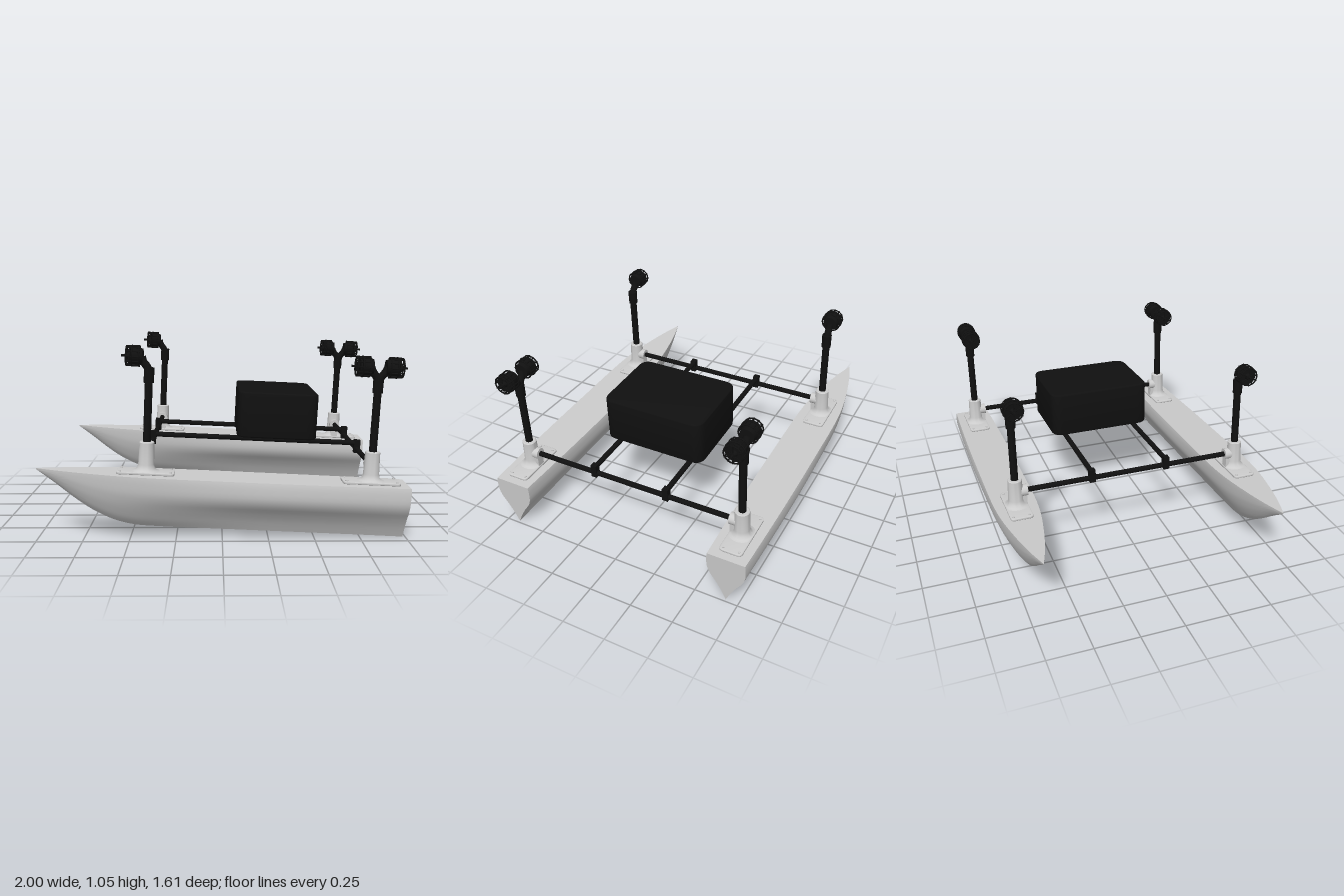
import * as THREE from 'three';
import { toCreasedNormals } from 'three/addons/utils/BufferGeometryUtils.js';

const grey = new THREE.MeshStandardMaterial({ color: 0xcccccc });
const black = new THREE.MeshStandardMaterial({ color: 0x101010 });

const HULL_Z = 0.677, DECK = 0.342, FORE_X = -0.427, AFT_X = 0.785;

function add(parent, name, geo, mat, x = 0, y = 0, z = 0) {
  const m = new THREE.Mesh(geo, mat);
  m.name = name;
  m.position.set(x, y, z);
  parent.add(m);
  return m;
}

// Round bar between two points
function bar(parent, name, a, b, r, mat, r2 = r, sides = 20) {
  const p = new THREE.Vector3(...a), q = new THREE.Vector3(...b);
  const d = q.clone().sub(p);
  const m = add(parent, name, new THREE.CylinderGeometry(r2, r, d.length(), sides), mat);
  m.position.copy(p).add(q).multiplyScalar(0.5);
  m.quaternion.setFromUnitVectors(new THREE.Vector3(0, 1, 0), d.normalize());
  return m;
}

// Rounded rectangle lying flat, extruded upward from y = 0
function slab(w, d, h, r, bevel) {
  const s = new THREE.Shape();
  const x = w / 2 - bevel, y = d / 2 - bevel;
  s.moveTo(-x + r, -y);
  s.lineTo(x - r, -y).quadraticCurveTo(x, -y, x, -y + r);
  s.lineTo(x, y - r).quadraticCurveTo(x, y, x - r, y);
  s.lineTo(-x + r, y).quadraticCurveTo(-x, y, -x, y - r);
  s.lineTo(-x, -y + r).quadraticCurveTo(-x, -y, -x + r, -y);
  const g = new THREE.ExtrudeGeometry(s, {
    depth: h - 2 * bevel, bevelEnabled: true, bevelSize: bevel,
    bevelThickness: bevel, bevelSegments: 3, curveSegments: 8,
  });
  g.rotateX(-Math.PI / 2).translate(0, bevel, 0);
  return toCreasedNormals(g, 0.6);
}

// Hull lofted from cross-sections: fine bow, hollow V towards the stern
function hullGeometry() {
  // x, keel height, half width at deck
  const stations = [
    [-1.017, 0.336, 0.001], [-0.915, 0.267, 0.034], [-0.81, 0.19, 0.061],
    [-0.7, 0.122, 0.084], [-0.585, 0.074, 0.104], [-0.48, 0.053, 0.116],
    [-0.35, 0.048, 0.123], [0.0, 0.048, 0.124], [0.4, 0.048, 0.122],
    [0.75, 0.048, 0.115], [0.985, 0.047, 0.108],
  ].map((s) => new THREE.Vector3(...s));
  const rail = new THREE.CatmullRomCurve3(stations);
  const profile = (pts) => new THREE.SplineCurve(pts.map((p) => new THREE.Vector2(...p)));
  const aft = profile([[0, 1], [0.1, 1.03], [0.3, 1.01], [0.45, 0.86], [0.6, 0.58],
    [0.75, 0.33], [0.88, 0.15], [1, 0]]);
  const bow = profile([[0, 1], [0.1, 0.98], [0.3, 0.9], [0.45, 0.79], [0.6, 0.65],
    [0.75, 0.46], [0.88, 0.26], [1, 0]]);
  const N = 60, H = 18, R = 2 * H + 1;
  const pos = [], idx = [];
  for (let i = 0; i <= N; i++) {
    const s = rail.getPoint(i / N);
    const t = THREE.MathUtils.smoothstep(-s.x, -0.3, 0.8);
    for (let j = 0; j < R; j++) {
      const k = 1 - Math.abs(j - H) / H;
      const p = aft.getPoint(k).lerp(bow.getPoint(k), t);
      const side = j < H ? 1 : -1;
      pos.push(s.x, DECK + (s.y - DECK) * p.x, side * s.z * p.y);
    }
  }
  for (let i = 0; i < N; i++) {
    const a = i * R, b = a + R;
    for (let j = 0; j < R - 1; j++) {
      idx.push(a + j, a + j + 1, b + j, b + j, a + j + 1, b + j + 1);
    }
    // deck strip
    idx.push(a, b, a + R - 1, b, b + R - 1, a + R - 1);
  }
  // transom
  const e = N * R;
  for (let j = 0; j < H; j++) {
    const m = e + R - 1 - j;
    idx.push(e + j, e + j + 1, m);
    if (j < H - 1) idx.push(e + j + 1, m - 1, m);
  }
  const g = new THREE.BufferGeometry();
  g.setAttribute('position', new THREE.Float32BufferAttribute(pos, 3));
  g.setIndex(idx);
  return toCreasedNormals(g, 0.6);
}

// Base plate, flared socket and inboard boss for the crossbar
function mount(parent, x, side) {
  const g = new THREE.Group();
  g.name = 'mastMount';
  g.position.set(x, DECK, side * HULL_Z);
  parent.add(g);
  add(g, 'mountPlate', slab(0.31, 0.128, 0.014, 0.02, 0.003), grey);
  for (const bx of [-0.135, 0.135]) for (const bz of [-0.045, 0.045]) {
    add(g, 'plateBolt', new THREE.CylinderGeometry(0.007, 0.007, 0.006, 10), grey, bx, 0.016, bz);
  }
  const flare = [[0.08, 0.012], [0.06, 0.018], [0.048, 0.03], [0.043, 0.05], [0.04, 0.168],
    [0.036, 0.172], [0.02, 0.172]].map((p) => new THREE.Vector2(...p));
  const socket = toCreasedNormals(new THREE.LatheGeometry(flare, 32), 0.7);
  // keep the flare within the plate width
  const p = socket.attributes.position;
  for (let i = 0; i < p.count; i++) p.setZ(i, THREE.MathUtils.clamp(p.getZ(i), -0.06, 0.06));
  add(g, 'mastSocket', socket, grey);
  bar(g, 'crossbarBoss', [0, 0.095, 0], [0, 0.095, -side * 0.067], 0.033, grey);
  add(g, 'bossWeb', new THREE.BoxGeometry(0.045, 0.085, 0.06), grey, 0, 0.052, -side * 0.031);
}

// Caged propulsor: motor drum, guard rings and ribs, shaft; out is the shaft direction in x
function pod(parent, x, y, out) {
  const g = new THREE.Group();
  g.name = 'thruster';
  g.position.set(x, y, 0);
  g.rotation.y = out > 0 ? 0 : Math.PI;
  parent.add(g);
  bar(g, 'motorDrum', [-0.045, 0, 0], [0.012, 0, 0], 0.04, black, 0.049, 28);
  bar(g, 'propellerDisc', [0.02, 0, 0], [0.028, 0, 0], 0.05, black, 0.05, 28);
  bar(g, 'shaft', [-0.05, 0, 0], [0.07, 0, 0], 0.006, black);
  bar(g, 'hub', [0.028, 0, 0], [0.048, 0, 0], 0.018, black, 0.012);
  for (const [rx, r] of [[-0.025, 0.053], [0.012, 0.054], [0.042, 0.05]]) {
    const ring = add(g, 'guardRing', new THREE.TorusGeometry(r, 0.004, 8, 32), black, rx);
    ring.rotation.y = Math.PI / 2;
  }
  for (let i = 0; i < 12; i++) {
    const a = (i / 12) * Math.PI * 2, c = Math.cos(a), s = Math.sin(a);
    bar(g, 'guardRib', [-0.03, c * 0.053, s * 0.053], [0.045, c * 0.051, s * 0.051], 0.004, black, 0.004, 6);
    if (i % 2 === 0) bar(g, 'guardSpoke', [0.044, 0, 0], [0.044, c * 0.05, s * 0.05], 0.003, black, 0.003, 6);
  }
}

// Mast with a collar, carrying one pod forward or a pair on a fork
function mast(parent, x, side, pair) {
  const g = new THREE.Group();
  g.name = pair ? 'aftMast' : 'foreMast';
  g.position.set(x, 0, side * HULL_Z);
  parent.add(g);
  bar(g, 'mastTube', [0, 0.45, 0], [0, 0.86, 0], 0.021, black);
  bar(g, 'mastCollar', [0, 0.83, 0], [0, 0.91, 0], 0.027, black, 0.028);
  for (const s of pair ? [-1, 1] : [-1]) {
    const reach = pair ? 0.045 : 0.04;
    const path = new THREE.CatmullRomCurve3([
      new THREE.Vector3(0, 0.885, 0), new THREE.Vector3(s * 0.012, 0.915, 0),
      new THREE.Vector3(s * 0.032, 0.94, 0), new THREE.Vector3(s * reach, 0.967, 0),
    ]);
    add(g, 'podArm', new THREE.TubeGeometry(path, 12, 0.021, 14), black);
    pod(g, s * 0.079, 0.968, s);
  }
}

export function createModel() {
  const root = new THREE.Group();
  root.name = 'catamaran';
  const boat = new THREE.Group();
  boat.name = 'pitchedBoat';
  boat.rotation.z = THREE.MathUtils.degToRad(-2.7);
  root.add(boat);

  const hull = hullGeometry();
  for (const side of [-1, 1]) {
    add(boat, 'hull', hull, grey, 0, 0, side * HULL_Z);
    for (const x of [FORE_X, AFT_X]) {
      mount(boat, x, side);
      mast(boat, x, side, x === AFT_X);
    }
  }

  // Frame: two crossbars, two lengthwise rails above them, clamps at the crossings
  const barY = 0.437, railY = 0.472;
  for (const x of [FORE_X, AFT_X]) {
    bar(boat, 'crossbar', [x, barY, -0.64], [x, barY, 0.64], 0.015, black);
    for (const z of [-0.228, 0.228]) {
      add(boat, 'railClamp', new THREE.BoxGeometry(0.036, 0.076, 0.034), black, x, 0.453, z);
    }
  }
  for (const z of [-0.228, 0.228]) {
    bar(boat, 'rail', [FORE_X, railY, z], [AFT_X, railY, z], 0.015, black);
  }

  // Equipment case
  add(boat, 'equipmentCase', slab(0.468, 0.62, 0.268, 0.055, 0.01), black, 0.301, 0.488, 0);
  return root;
}
